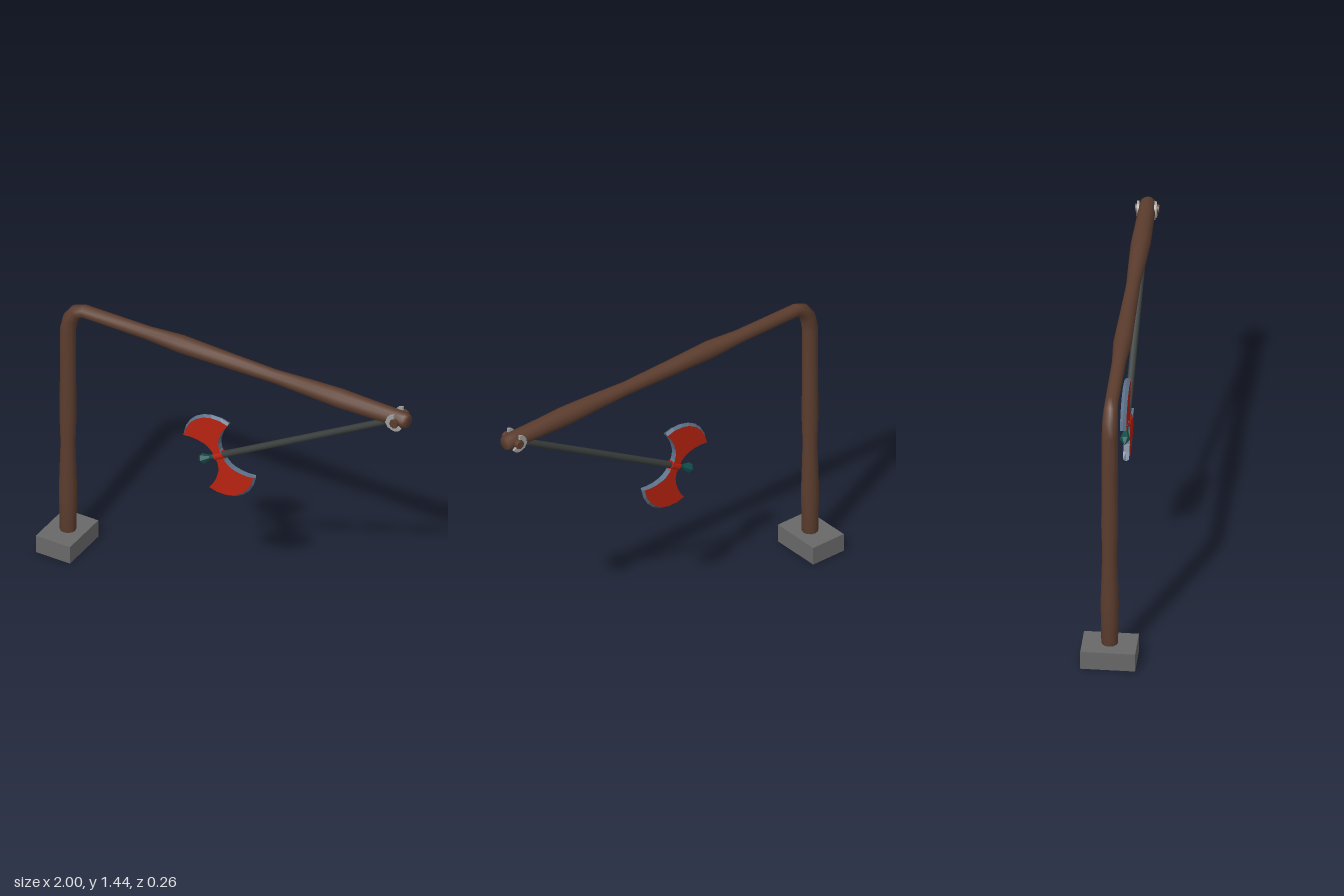
import * as THREE from 'three';

const material = (name, color, extra = {}) => {
  const m = new THREE.MeshStandardMaterial({ color, ...extra });
  m.name = name;
  return m;
};

// Smooth tube in the xy plane from sections [x, y, radius], closed at both ends
function limbGeometry(sections, sides = 12) {
  const pos = [], index = [], n = sections.length;
  sections.forEach(([x, y, r], i) => {
    const a = sections[Math.max(i - 1, 0)], b = sections[Math.min(i + 1, n - 1)];
    const len = Math.hypot(b[0] - a[0], b[1] - a[1]);
    const nx = -(b[1] - a[1]) / len, ny = (b[0] - a[0]) / len;
    for (let j = 0; j < sides; j++) {
      const t = (j / sides) * Math.PI * 2, c = Math.cos(t) * r;
      pos.push(x + nx * c, y + ny * c, Math.sin(t) * r);
    }
  });
  for (let i = 0; i < n - 1; i++) {
    for (let j = 0; j < sides; j++) {
      const k = (j + 1) % sides;
      const a = i * sides + j, b = i * sides + k, c = a + sides, d = b + sides;
      index.push(a, b, c, b, d, c);
    }
  }
  for (const [end, flip] of [[0, true], [n - 1, false]]) {
    const centre = pos.length / 3;
    pos.push(sections[end][0], sections[end][1], 0);
    for (let j = 0; j < sides; j++) {
      const a = end * sides + j, b = end * sides + ((j + 1) % sides);
      index.push(centre, flip ? b : a, flip ? a : b);
    }
  }
  const g = new THREE.BufferGeometry();
  g.setAttribute('position', new THREE.Float32BufferAttribute(pos, 3));
  g.setIndex(index);
  g.computeVertexNormals();
  return g;
}

// Flared axe blade reaching out along +x, with a sharpened outer arc
function bladeGeometry() {
  const half = [[0, 0.025], [0.03, 0.023], [0.06, 0.033], [0.08, 0.046],
    [0.108, 0.075], [0.13, 0.108], [0.152, 0.145], [0.186, 0.112], [0.212, 0.068], [0.224, 0.025]];
  const mirrored = half.map(([x, y]) => [x, -y]);
  const outline = [...mirrored, ...half.slice().reverse()];
  const shape = new THREE.Shape(outline.map(([x, y]) => new THREE.Vector2(x, y)));
  const g = new THREE.ExtrudeGeometry(shape, { depth: 0.03, steps: 2, bevelEnabled: false });
  g.translate(0, 0, -0.015);
  const p = g.attributes.position;
  for (let i = 0; i < p.count; i++) {
    if (Math.abs(p.getZ(i)) > 0.01 && p.getX(i) > 0.14) {
      p.setXY(i, p.getX(i) * 0.95, p.getY(i) * 0.97);
    }
  }
  g.computeVertexNormals();
  return g;
}

export function createModel() {
  const wood = material('brown wood', 0x5c3d2e);
  const stone = material('grey stone', 0x686868);
  const iron = material('dark iron', 0x3a3f3d);
  const red = material('red paint', 0xb82210);
  const steel = material('blue steel', 0x5b7088, { flatShading: true });
  const teal = material('dark teal', 0x0f4f4c, { flatShading: true });
  const bracket = material('light grey metal', 0xa0a0a0);

  const model = new THREE.Group();
  model.name = 'swingingAxeTrap';
  const add = (parent, name, geometry, mat, x = 0, y = 0, z = 0) => {
    const mesh = new THREE.Mesh(geometry, mat);
    mesh.name = name;
    mesh.position.set(x, y, z);
    parent.add(mesh);
    return mesh;
  };

  // Stone footing
  add(model, 'base', new THREE.BoxGeometry(0.19, 0.095, 0.264), stone, -0.905, 0.0475, 0);

  // Post, bend and beam in one bent timber
  add(model, 'postAndBeam', limbGeometry([
    [-0.9, 0.08, 0.04], [-0.9, 0.32, 0.044], [-0.9, 0.6, 0.036], [-0.9, 0.75, 0.041],
    [-0.9, 1.0, 0.039], [-0.9, 1.257, 0.039], [-0.885, 1.325, 0.038], [-0.853, 1.372, 0.035],
    [-0.81, 1.39, 0.033], [-0.45, 1.39, 0.034], [-0.27, 1.392, 0.045], [0, 1.39, 0.039],
    [0.25, 1.39, 0.034], [0.45, 1.392, 0.042], [0.62, 1.392, 0.048], [0.8, 1.392, 0.044],
    [0.94, 1.392, 0.042], [0.985, 1.392, 0.039], [1.0, 1.392, 0.031],
  ]), wood);

  // Pivot pin through the end of the beam
  const pin = new THREE.CylinderGeometry(0.022, 0.022, 0.116, 8);
  pin.rotateX(Math.PI / 2);
  add(model, 'pivotPin', pin, wood, 0.947, 1.39, 0);

  // Swinging arm: local -y runs down the pole
  const arm = new THREE.Group();
  arm.name = 'swingingArm';
  arm.position.set(0.945, 1.39, 0);
  arm.rotation.z = -THREE.MathUtils.degToRad(60.4);
  model.add(arm);

  // Open hooks on both sides of the beam, joined by a bridge
  const hook = new THREE.Shape();
  hook.absarc(0, 0, 0.044, Math.PI * 0.85, Math.PI * 2.15, false);
  hook.absarc(0, 0, 0.023, Math.PI * 2.15, Math.PI * 0.85, true);
  const hookGeometry = new THREE.ExtrudeGeometry(hook, { depth: 0.012, bevelEnabled: false, curveSegments: 8 });
  for (const [name, z] of [['leftHook', 0.036], ['rightHook', -0.048]]) {
    add(arm, name, hookGeometry, bracket, 0, 0, z);
  }
  add(arm, 'hookBridge', new THREE.BoxGeometry(0.036, 0.014, 0.084), bracket, 0, -0.045, 0);

  const hubY = -1.148;
  add(arm, 'pole', new THREE.CylinderGeometry(0.017, 0.017, 1.11, 10), iron, 0, -0.593, 0);

  // Axe head
  const axe = new THREE.Group();
  axe.name = 'axeHead';
  axe.position.y = hubY;
  arm.add(axe);
  add(axe, 'hub', new THREE.CylinderGeometry(0.022, 0.022, 0.056, 10), red);
  const blade = bladeGeometry();
  add(axe, 'lowerBlade', blade, [red, steel]);
  add(axe, 'upperBlade', blade, [red, steel]).rotation.y = Math.PI;

  // Pointed tip below the axe head
  const tip = [[0, -0.14], [0.026, -0.108], [0.011, -0.062], [0.011, -0.02]];
  add(axe, 'spike', new THREE.LatheGeometry(tip.map(([r, y]) => new THREE.Vector2(r, y)), 6), teal);

  return model;
}
